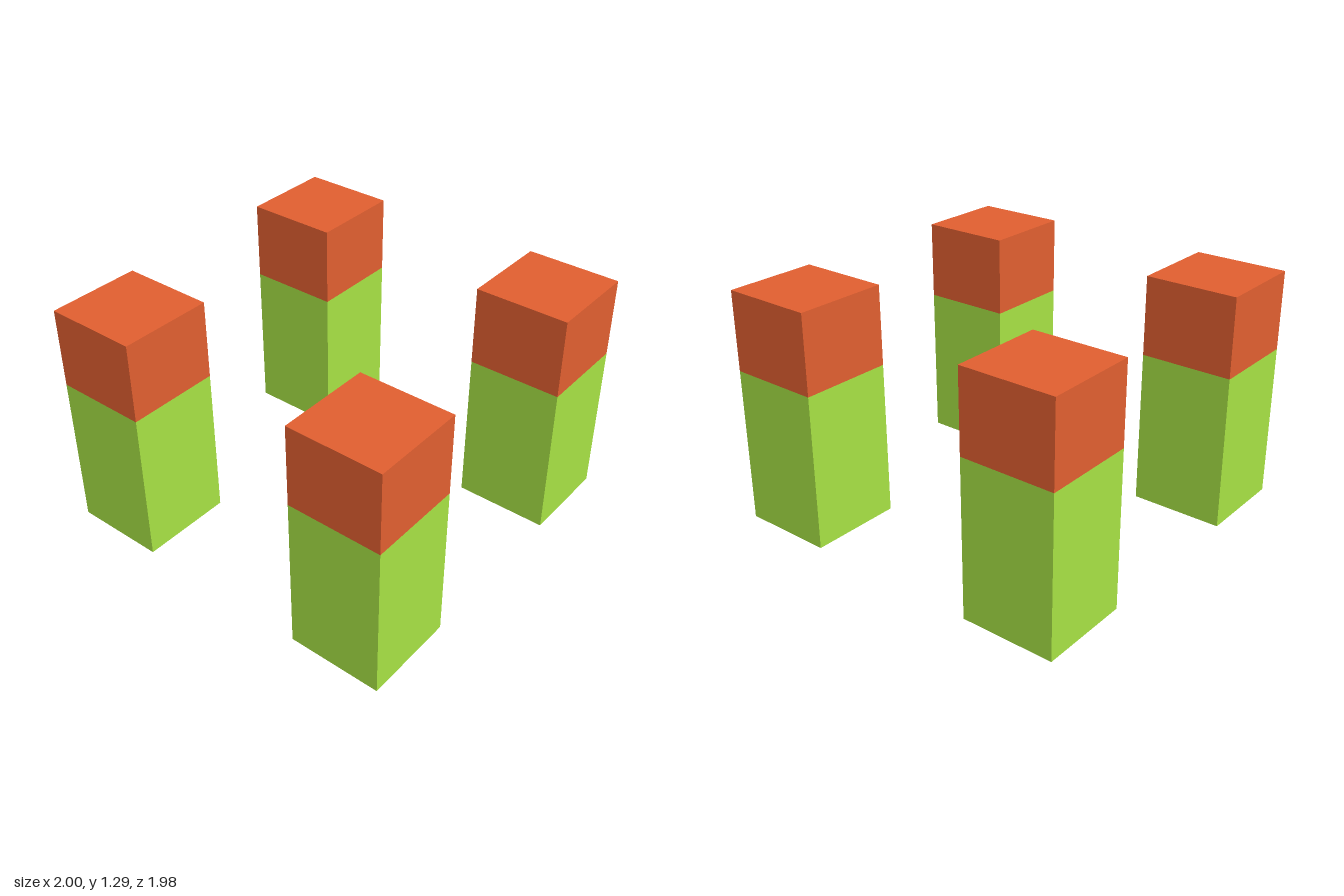
import * as THREE from 'three';

const WIDTH = 0.513;
const SPLIT = 0.855;
const HEIGHT = 1.291;

export function createModel() {
  const model = new THREE.Group();
  model.name = 'fourPosts';

  const green = new THREE.MeshStandardMaterial({ color: 0xaae646 });
  green.name = 'limeGreen';
  const orange = new THREE.MeshStandardMaterial({ color: 0xe56131 });
  orange.name = 'brightOrange';

  // Square block spanning two heights
  const block = (name, y0, y1, material) => {
    const geometry = new THREE.BoxGeometry(WIDTH, y1 - y0, WIDTH);
    geometry.translate(0, (y0 + y1) / 2, 0);
    const mesh = new THREE.Mesh(geometry, material);
    mesh.name = name;
    return mesh;
  };

  // One post at each corner: green shaft with an orange cap
  for (const [side, sx] of [['Left', 1], ['Right', -1]]) {
    for (const [end, sz] of [['front', 1], ['back', -1]]) {
      const post = new THREE.Group();
      post.name = `${end}${side}Post`;
      post.add(block('shaft', 0, SPLIT, green), block('cap', SPLIT, HEIGHT, orange));
      post.position.set(sx * 0.7435, 0, sz * 0.732);
      model.add(post);
    }
  }
  return model;
}
